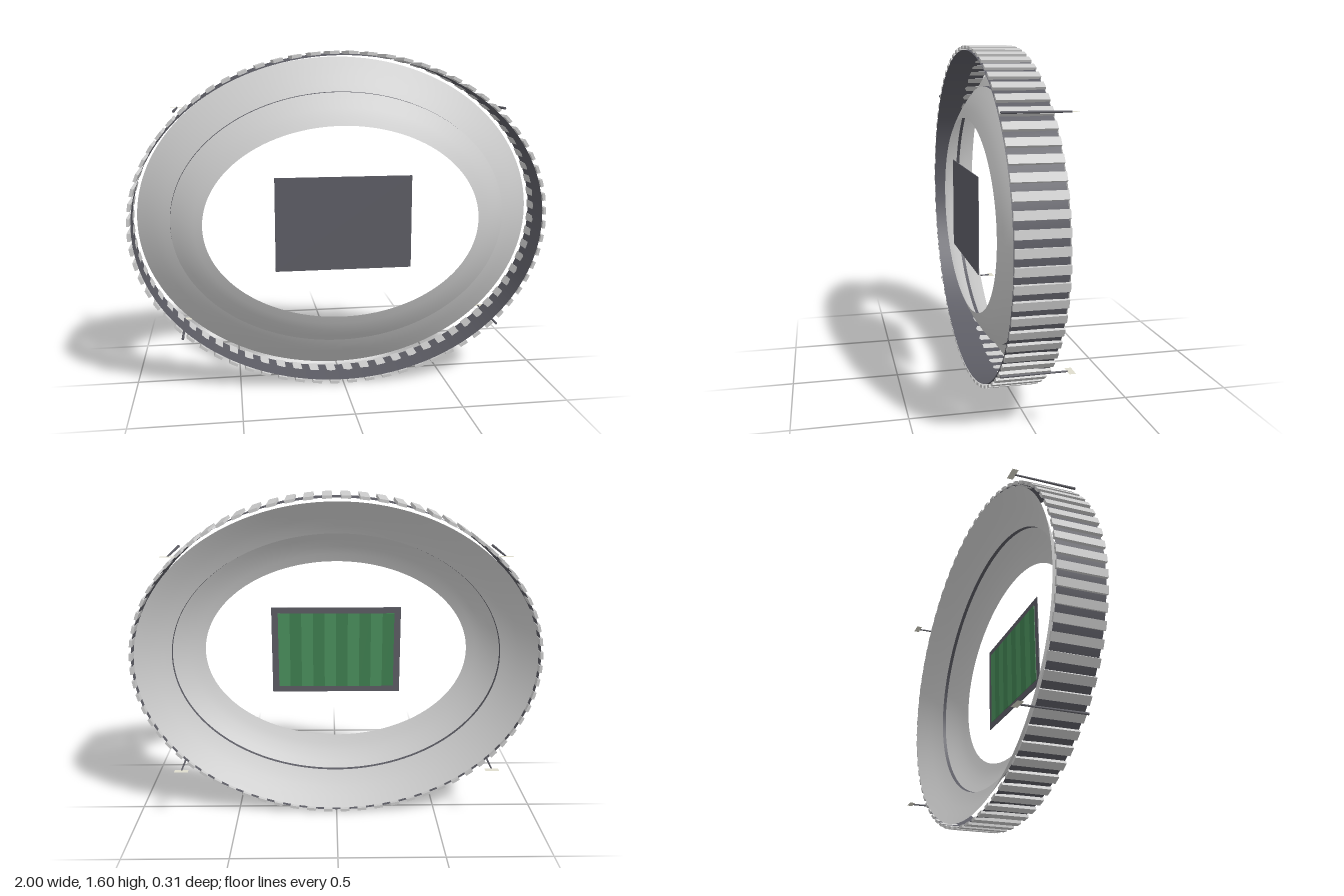
import * as THREE from 'three';
import { mergeVertices } from 'three/addons/utils/BufferGeometryUtils.js';

const CY = 0.8;      // height of the oval's centre
const SQUASH = 0.2;  // the y radius is this much less than the x radius
const GROUND = 0.155; // the arena lies on its side: its ground is at +z, its top at -z

const mat = (color) => new THREE.MeshStandardMaterial({ color, side: THREE.DoubleSide });
const light = mat(0xcccccc);
const dark = mat(0x5c5c64);
const cream = mat(0xdedccd);
const greens = [mat(0x3f7f50), mat(0x4a8f5c)];

function add(parent, name, geometry, material, x = 0, y = 0, z = 0) {
  const mesh = new THREE.Mesh(geometry, material);
  mesh.name = name;
  mesh.position.set(x, y, z);
  parent.add(mesh);
  return mesh;
}

// Oval shell: profile points are [x radius, z]
function ovalShell(profile, segments = 128) {
  const geo = new THREE.LatheGeometry(profile.map(([r, z]) => new THREE.Vector2(r, z)), segments);
  const p = geo.attributes.position;
  for (let i = 0; i < p.count; i++) {
    const r = Math.hypot(p.getX(i), p.getZ(i));
    const a = Math.atan2(p.getZ(i), p.getX(i));
    p.setXYZ(i, r * Math.cos(a), CY + (r - SQUASH) * Math.sin(a), p.getY(i));
  }
  geo.deleteAttribute('uv');
  geo.deleteAttribute('normal');
  const merged = mergeVertices(geo, 1e-5);
  merged.computeVertexNormals();
  return merged;
}

export function createModel() {
  const model = new THREE.Group();
  model.name = 'stadium';

  // Lower and upper seating tiers with a small step between them
  add(model, 'lowerStand', ovalShell([
    [0.66, 0.145], [0.70, 0.128], [0.74, 0.107], [0.78, 0.08], [0.81, 0.057],
  ]), light);
  add(model, 'standStep', ovalShell([[0.81, 0.057], [0.812, 0.04]]), dark);
  add(model, 'upperStand', ovalShell([
    [0.812, 0.04], [0.85, 0.019], [0.89, -0.008], [0.93, -0.037], [0.973, -0.07],
  ]), light);

  // Outer wall, leaning out slightly towards its top
  add(model, 'outerWall', ovalShell([[0.979, GROUND], [0.989, -0.06]]), dark);

  // Upright fins around the wall
  const fins = new THREE.Group();
  fins.name = 'wallFins';
  model.add(fins);
  const count = 72;
  const rx = 0.992, ry = rx - SQUASH;
  for (let i = 0; i < count; i++) {
    const a = ((i + 0.5) / count) * Math.PI * 2;
    const step = Math.hypot(rx * Math.sin(a), ry * Math.cos(a)) * Math.PI * 2 / count;
    const fin = add(fins, 'wallFin', new THREE.BoxGeometry(0.014, step * 0.52, 0.22), light,
      rx * Math.cos(a), CY + ry * Math.sin(a), 0.045);
    fin.rotation.z = Math.atan2(Math.sin(a) / ry, Math.cos(a) / rx);
  }

  // Playing field: dark surround with mown stripes on its upper side
  add(model, 'fieldSurround', new THREE.BoxGeometry(0.65, 0.445, 0.004), dark, 0, CY + 0.002, 0.153);
  const stripes = 10, w = 0.585 / stripes;
  for (let i = 0; i < stripes; i++) {
    add(model, 'fieldStripe', new THREE.BoxGeometry(w, 0.385, 0.004), greens[i % 2],
      (i - (stripes - 1) / 2) * w, CY + 0.002, 0.15);
  }

  // Four floodlight masts with thin lamp panels
  for (const sx of [-1, 1]) {
    for (const sy of [-1, 1]) {
      const mast = new THREE.Group();
      mast.name = 'floodlight';
      mast.position.set(sx * 0.767, CY + 0.002 + sy * 0.532, 0);
      model.add(mast);
      const pole = add(mast, 'mastPole', new THREE.CylinderGeometry(0.004, 0.006, 0.285, 8), dark, 0, 0, 0.0125);
      pole.rotation.x = -Math.PI / 2;
      const panel = add(mast, 'lampPanel', new THREE.PlaneGeometry(0.068, 0.028), cream, 0, 0, -0.141);
      panel.rotation.x = -Math.PI / 2;
    }
  }
  return model;
}
